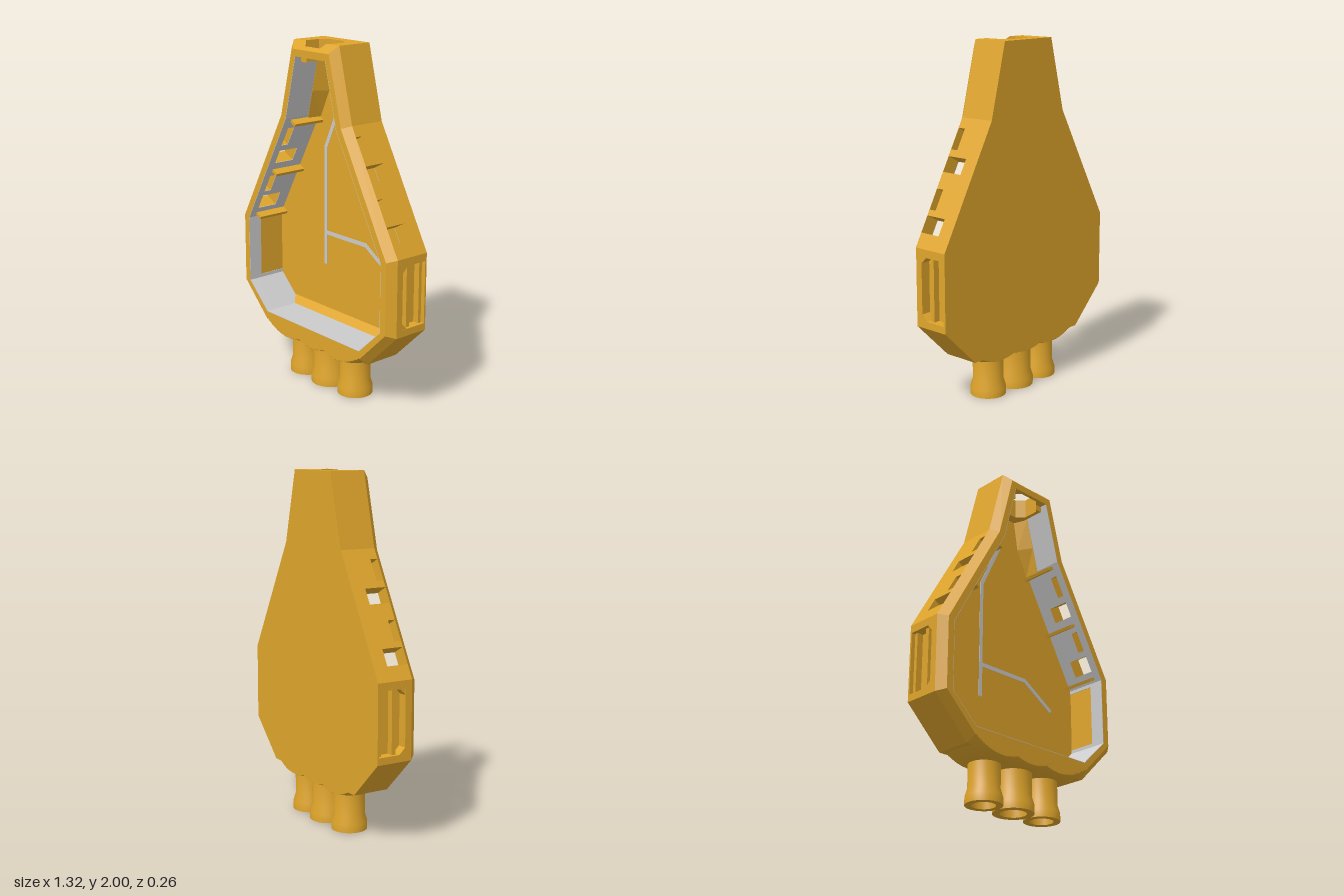
import * as THREE from 'three';
import { toCreasedNormals } from 'three/addons/utils/BufferGeometryUtils.js';

const BACK = -0.125, FLOOR = -0.115, EDGE = 0.09, FRONT = 0.135;
// half outlines from the neck down: outer edge, chamfered front edge, cavity edge
const OUT = [[.19, 2], [.295, 1.585], [.66, .925], [.66, .485], [.435, .265]];
const MID = [[.155, 1.96], [.255, 1.57], [.618, .91], [.618, .5], [.418, .305]];
const INN = [[.125, 1.915], [.215, 1.555], [.575, .9], [.575, .505], [.41, .35]];

const shellMat = new THREE.MeshStandardMaterial({ color: 0xdfa52b, side: THREE.DoubleSide });
const greyMat = new THREE.MeshStandardMaterial({ color: 0xcccccc, side: THREE.DoubleSide });

const mix = (a, b, t) => a.map((v, i) => v + (b[i] - v) * t);
const flip = (p) => [-p[0], p[1]];
const vectors = (pts) => pts.map((p) => new THREE.Vector2(...p));

// closed, flat-faced solid through convex cross-sections of equal point count
function loft(sections) {
  const tris = [], n = sections[0].length, last = sections.length - 1;
  for (let s = 0; s < last; s++) {
    for (let i = 0; i < n; i++) {
      const j = (i + 1) % n, A = sections[s], B = sections[s + 1];
      tris.push([A[i], A[j], B[j]], [A[i], B[j], B[i]]);
    }
  }
  for (let i = 1; i < n - 1; i++) {
    tris.push([sections[0][0], sections[0][i + 1], sections[0][i]]);
    tris.push([sections[last][0], sections[last][i], sections[last][i + 1]]);
  }
  // turn the faces outward whichever way the sections run
  const V = (p) => new THREE.Vector3(...p);
  const volume = tris.reduce((sum, t) => sum + V(t[0]).dot(V(t[1]).cross(V(t[2]))), 0);
  if (volume < 0) tris.forEach((t) => t.reverse());
  const g = new THREE.BufferGeometry();
  g.setAttribute('position', new THREE.Float32BufferAttribute(tris.flat(2), 3));
  g.computeVertexNormals();
  return g;
}

const prism = (pts, z0, z1) => loft([z0, z1].map((z) => pts.map((p) => [...p, z])));

// inner wall point straight across from an outer one; the ends keep their mitre
function across(p, i0, i1, t) {
  if (t === 0) return i0;
  if (t === 1) return i1;
  const dx = i1[0] - i0[0], dy = i1[1] - i0[1];
  return mix(i0, i1, ((p[0] - i0[0]) * dx + (p[1] - i0[1]) * dy) / (dx * dx + dy * dy));
}

export function createModel() {
  const model = new THREE.Group();
  const add = (name, geo, mat = shellMat, parent = model) => {
    const m = new THREE.Mesh(geo, mat);
    m.name = name;
    parent.add(m);
    return m;
  };

  // back plate
  const outline = vectors([...OUT, ...OUT.map(flip).reverse()]);
  add('backPlate', new THREE.ExtrudeGeometry(new THREE.Shape(outline),
    { depth: FLOOR - BACK, bevelEnabled: false }).translate(0, 0, BACK));

  // a stretch of wall with a grey inner lining
  const wall = (name, o0, o1, i0, i1, t0 = 0, t1 = 1, z0 = FLOOR, z1 = EDGE) => {
    const a = mix(o0, o1, t0), b = mix(o0, o1, t1);
    const c = across(b, i0, i1, t1), d = across(a, i0, i1, t0);
    const e = mix(a, d, .97), f = mix(b, c, .97);
    add(name, prism([a, b, f, e], z0, z1));
    add(name + 'Lining', prism([e, f, c, d], z0, z1), greyMat);
  };

  // chamfered front rim along one stretch, lined like the wall
  const rim = (O, M, I) => {
    const L = O.map((p, k) => mix(p, I[k], .97));
    add('frontRim', loft([0, 1].map((k) =>
      [[...O[k], EDGE], [...M[k], FRONT], [...L[k], FRONT], [...L[k], EDGE]])));
    add('rimLining', prism([L[0], L[1], I[1], I[0]], EDGE, FRONT), greyMat);
  };

  for (const s of [1, -1]) {
    const m = (p) => [s * p[0], p[1]];
    const o = OUT.map(m), f = MID.map(m), n = INN.map(m);
    const seg = (name, i, ...rest) => wall(name, o[i], o[i + 1], n[i], n[i + 1], ...rest);
    for (let i = 0; i < 4; i++) rim(o.slice(i, i + 2), f.slice(i, i + 2), n.slice(i, i + 2));
    seg('neckWall', 0);
    seg('lowerWall', 3);

    // sloping wall with alternating shallow and deep vents: [top y, bottom y, vent floor z]
    let t = 0;
    for (const [top, bottom, z] of [[1.53, 1.42, .045], [1.385, 1.305, -.04], [1.22, 1.115, .045], [1.085, 1, -.04]]) {
      const a = (1.585 - top) / .66, b = (1.585 - bottom) / .66;
      seg('slopeWall', 1, t, a);
      seg('ventSill', 1, a, b, FLOOR, z);
      t = b;
    }
    seg('slopeWall', 1, t, 1);

    // side wall with a ribbed recess whose front corners are cut off
    seg('sideWall', 2, 0, .102);
    seg('sideWall', 2, .909, 1);
    seg('recessHeader', 2, .102, .909, .05, EDGE);
    add('recessPanel', new THREE.BoxGeometry(.025, .37, .175).translate(s * .5905, .7025, -.03));
    for (const [z, w] of [[-.1, .02], [-.01, .025]]) {
      add('recessRib', new THREE.BoxGeometry(.05, .36, w).translate(s * .615, .7025, z));
    }
    for (const [y, d] of [[.88, -.035], [.525, .035]]) {
      add('recessCorner', loft([.595, .659].map((x) =>
        [[s * x, y, .05], [s * x, y + d, .05], [s * x, y, .015]])));
    }

    // upright ribs on the sloping wall
    for (const k of [.03, .52, .97]) {
      const [x, y] = mix(n[1], n[2], k);
      const rib = add('wallRib', new THREE.BoxGeometry(.055, .018, EDGE - FLOOR));
      rib.position.set(x - s * .015, y - .008, (EDGE + FLOOR) / 2);
      rib.rotation.z = s * .5;
    }

    // tapered filler low down in the neck
    add('neckFillet', loft([[.225, .205, 1.54], [.185, .13, 1.7], [.14, .1, 1.885]].map(([w, x, y]) =>
      [[s * w, y, FLOOR], [s * x, y, FLOOR], [s * (w - .008), y, -.03], [s * w, y, -.03]])));
  }

  // bottom wall, rim and inner ramp
  wall('bottomWall', OUT[4], flip(OUT[4]), INN[4], flip(INN[4]));
  rim(...[OUT, MID, INN].map((p) => [p[4], flip(p[4])]));
  add('floorRamp', loft([-1, 1].map((s) =>
    [[s * .41, .345, FLOOR], [s * .45, .39, FLOOR], [s * .41, .345, -.072]])));

  // neck cap with an eight-sided opening, in two halves that meet where the chamfer starts
  const cap = (pts, y0) => {
    const all = vectors([...pts, ...pts.map(flip).reverse()].map(([x, z]) => [x, -z]));
    const g = new THREE.ExtrudeGeometry(new THREE.Shape(all), { depth: 2 - y0, bevelEnabled: false });
    g.rotateX(-Math.PI / 2).translate(0, y0, 0);
    const p = g.attributes.position;
    for (let i = 0; i < p.count; i++) {
      const x = p.getX(i), z = p.getZ(i);
      let y = p.getY(i);
      if (y > 1.99 && z > EDGE) y = 2 - (z - EDGE);
      p.setY(i, y);
      if (Math.abs(x) > .12) p.setX(i, Math.sign(x) * (.125 + Math.max(0, y - 1.915) * .765));
    }
    g.computeVertexNormals();
    add('neckCap', g);
  };
  cap([[.06, -.06], [.103, -.017], [.103, .072], [.085, EDGE], [.125, EDGE], [.125, BACK]], 1.88);
  cap([[.06, .115], [.085, EDGE], [.125, EDGE], [.125, FRONT]], 1.915);

  // grey channel strips on the floor
  const strips = [[[-.01, 1.69], [-.16, 1.365]], [[-.16, 1.375], [-.16, .66]],
    [[-.16, .855], [.19, .855]], [[.18, .86], [.4, .72]]];
  for (const [a, b] of strips) {
    const dx = b[0] - a[0], dy = b[1] - a[1];
    const strip = add('floorStrip', new THREE.BoxGeometry(Math.hypot(dx, dy), .024, .006), greyMat);
    strip.position.set((a[0] + b[0]) / 2, (a[1] + b[1]) / 2, FLOOR - .001);
    strip.rotation.z = Math.atan2(dy, dx);
  }

  // three bored spouts with flared collars trimmed to the body thickness
  const Z = -.015;
  for (const [x, r] of [[-.215, .088], [0, .1], [.215, .088]]) {
    const spout = new THREE.Group();
    spout.name = 'spout';
    spout.position.set(x, 0, Z);
    model.add(spout);
    const foot = r + .014, bore = foot * .64;
    const tube = [[0, .2], [bore, .2], [bore, 0], [foot, 0], [foot, .045], [r, .09], [r, .25]];
    add('spoutTube', toCreasedNormals(new THREE.LatheGeometry(vectors(tube), 40), .5), shellMat, spout);

    const collar = [[r - .01, .222]];
    for (let u = 0; u <= 1.001; u += .05) collar.push([.1 + .15 * u, .222 + .083 * u ** 1.5]);
    collar.push([0, .305]);
    const g = new THREE.LatheGeometry(vectors(collar), 72);
    const p = g.attributes.position;
    for (let i = 0; i < p.count; i++) {
      p.setZ(i, THREE.MathUtils.clamp(p.getZ(i), BACK - Z, FRONT - Z));
    }
    add('spoutCollar', toCreasedNormals(g, .5), shellMat, spout);
  }
  return model;
}
